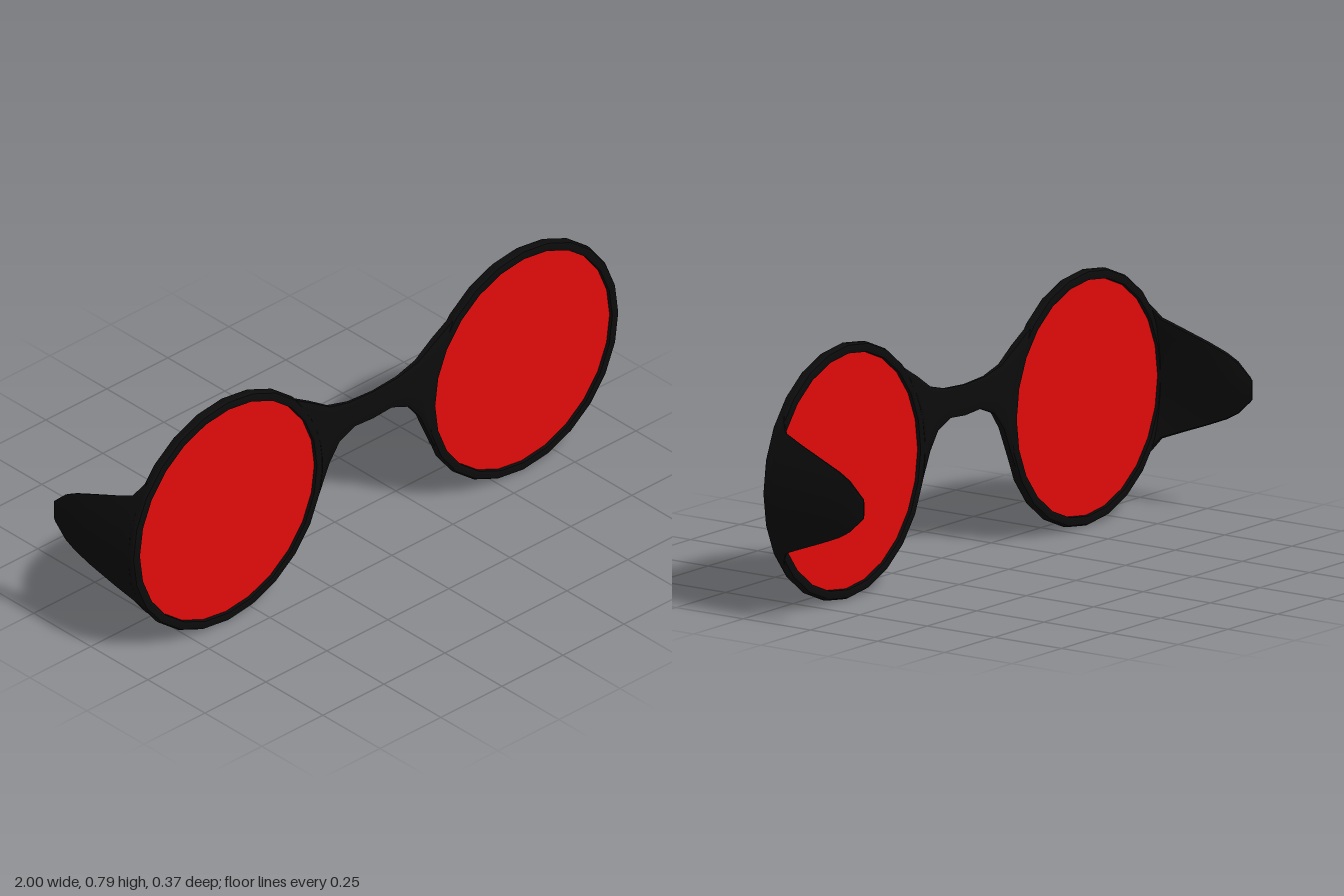
import * as THREE from 'three';
import { toCreasedNormals } from 'three/addons/utils/BufferGeometryUtils.js';

const LENS_X = 0.605, LENS_Y = 0.397, FRONT_Z = 0.165, SIDES = 24;

const black = new THREE.MeshStandardMaterial({ color: 0x0b0b0b });
const red = new THREE.MeshStandardMaterial({ color: 0xe00b0b });

// Joins closed rings of points into a solid; each end is closed with a strip
// between the two halves of its ring.
function loft(rings) {
  const n = rings[0].length, index = [];
  const quad = (a, b, c, d) => index.push(a, b, c, a, c, d);
  for (let i = 0; i < rings.length - 1; i++) {
    for (let j = 0; j < n; j++) {
      const k = (j + 1) % n;
      quad(i * n + j, i * n + k, (i + 1) * n + k, (i + 1) * n + j);
    }
  }
  const last = (rings.length - 1) * n;
  for (let j = 0; j < n / 2 - 1; j++) {
    quad(n - 1 - j, n - 2 - j, j + 1, j);
    quad(last + j, last + j + 1, last + n - 2 - j, last + n - 1 - j);
  }
  const geometry = new THREE.BufferGeometry();
  geometry.setAttribute('position', new THREE.Float32BufferAttribute(rings.flat(2), 3));
  geometry.setIndex(index);
  return toCreasedNormals(geometry, 0.6);
}

function part(name, geometry, material) {
  const mesh = new THREE.Mesh(geometry, material);
  mesh.name = name;
  return mesh;
}

// Round rim with bevelled edges
function rimGeometry() {
  const profile = [
    [0.378, -0.018], [0.388, -0.015], [0.393, -0.007], [0.393, 0.007], [0.388, 0.015],
    [0.378, 0.018], [0.363, 0.016], [0.361, 0], [0.363, -0.016], [0.378, -0.018],
  ].map(([r, z]) => new THREE.Vector2(r, z));
  return toCreasedNormals(new THREE.LatheGeometry(profile, SIDES).rotateX(Math.PI / 2), 0.6);
}

// Side shield: curved blade running back from the rim, [z, half height, outer radius, thickness]
function shieldGeometry() {
  const stations = [
    [-0.005, 0.235, 0.391, 0.028], [-0.018, 0.213, 0.392, 0.03], [-0.035, 0.186, 0.392, 0.031],
    [-0.095, 0.163, 0.392, 0.032], [-0.195, 0.126, 0.391, 0.032], [-0.255, 0.102, 0.389, 0.03],
    [-0.295, 0.08, 0.386, 0.026], [-0.34, 0.038, 0.379, 0.012], [-0.348, 0.03, 0.376, 0.006],
  ];
  const steps = 8;
  return loft(stations.map(([z, h, r, thick]) => {
    const outer = [], inner = [];
    for (let i = 0; i <= steps; i++) {
      const t = 1 - 2 * i / steps;
      const angle = t * Math.asin(h / r);
      const ri = r - thick * (1 - 0.7 * t * t);
      outer.push([r * Math.cos(angle), r * Math.sin(angle), z]);
      inner.unshift([ri * Math.cos(angle), ri * Math.sin(angle), z]);
    }
    return [...outer, ...inner];
  }));
}

// Nose bridge: flared at both ends, [top x, top y, bottom x, bottom y, bow, half depth]
function bridgeGeometry() {
  const half = [
    [0, 0.55, 0, 0.455, 0, 0.006], [0.1, 0.556, 0.075, 0.461, 0, 0.008],
    [0.18, 0.577, 0.142, 0.435, 0.005, 0.012], [0.25, 0.622, 0.186, 0.38, 0.02, 0.017],
    [0.335, 0.672, 0.245, 0.248, 0.063, 0.0165],
  ];
  const mirrored = half.slice(1).reverse()
    .map(([tx, ty, bx, by, bow, d]) => [-tx, ty, -bx, by, -bow, d]);
  const steps = 8;
  return loft([...mirrored, ...half].map(([tx, ty, bx, by, bow, depth]) => {
    const front = [], back = [];
    const length = Math.hypot(tx - bx, ty - by);
    for (let i = 0; i <= steps; i++) {
      const t = i / steps, arch = 4 * t * (1 - t) * bow;
      const x = tx + (bx - tx) * t - arch * (ty - by) / length;
      const y = ty + (by - ty) * t + arch * (tx - bx) / length;
      const d = depth * (i === 0 || i === steps ? 0.6 : 1);
      front.push([x, y, FRONT_Z + d]);
      back.unshift([x, y, FRONT_Z - d]);
    }
    return [...front, ...back];
  }));
}

export function createModel() {
  const model = new THREE.Group();
  model.name = 'roundGlasses';

  const rim = rimGeometry();
  const shield = shieldGeometry();
  const lens = toCreasedNormals(
    new THREE.CylinderGeometry(0.365, 0.365, 0.01, SIDES).rotateX(Math.PI / 2), 0.6);

  // Each half is the other turned half a circle about the lens axis
  for (const side of [1, -1]) {
    const name = side > 0 ? 'left' : 'right';
    const eye = new THREE.Group();
    eye.name = name + 'Eye';
    eye.add(
      part(name + 'Rim', rim, black),
      part(name + 'Lens', lens, red),
      part(name + 'SideShield', shield, black),
    );
    eye.position.set(side * LENS_X, LENS_Y, FRONT_Z);
    if (side < 0) eye.rotation.z = Math.PI;
    model.add(eye);
  }

  model.add(part('bridge', bridgeGeometry(), black));
  return model;
}
